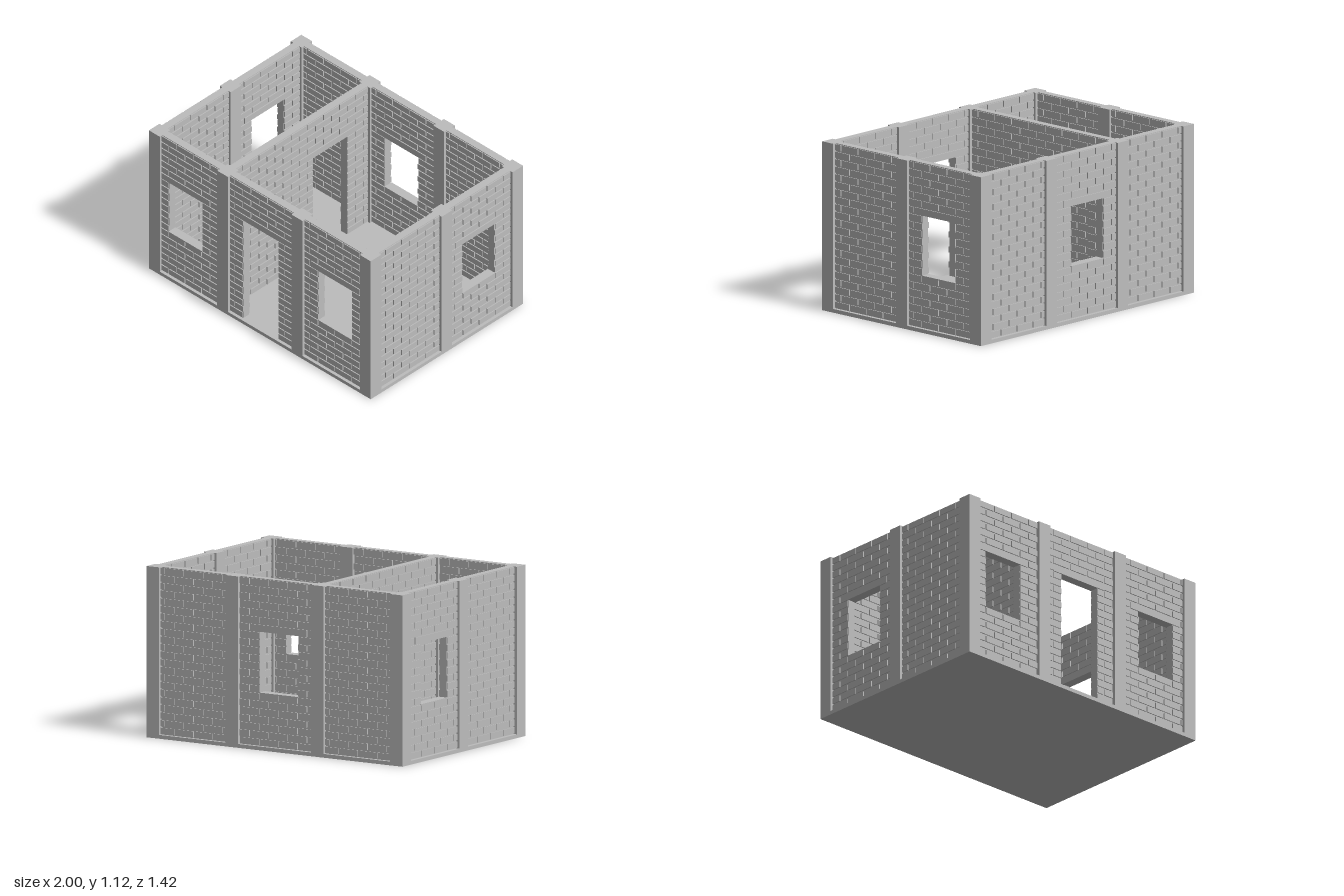
import * as THREE from 'three';
import { mergeGeometries } from 'three/addons/utils/BufferGeometryUtils.js';

const FLOOR = 0.025, TOP = 1.125, ROW = 0.05, BRICK = 0.15, GAP = 0.01;
const THICK = 0.065, CORE = 0.051;

const stone = new THREE.MeshStandardMaterial({ name: 'grey stone', color: 0xbdbdbd });

function box(x0, x1, y0, y1, depth) {
  const g = new THREE.BoxGeometry(x1 - x0, y1 - y0, depth);
  g.translate((x0 + x1) / 2, (y0 + y1) / 2, 0);
  return g;
}

function mesh(geometry, name) {
  const m = new THREE.Mesh(geometry, stone);
  m.name = name;
  return m;
}

// Remove the span [c, d] from a list of spans
function cut(spans, c, d) {
  return spans.flatMap(([a, b]) =>
    [[a, Math.min(b, c)], [Math.max(a, d), b]].filter(([p, q]) => q - p > 1e-4));
}

// Brick wall running along local x from a to b, with an optional opening
// given as { x0, x1, y0, y1, l0, l1 }, where l0..l1 is the lintel
function brickWall(name, a, b, open) {
  const wall = new THREE.Group();
  wall.name = name;

  // Recessed mortar core, built around the opening
  const core = [];
  if (open) {
    core.push(box(a, open.x0, FLOOR, TOP, CORE), box(open.x1, b, FLOOR, TOP, CORE));
    core.push(box(open.x0, open.x1, open.y1, TOP, CORE));
    if (open.y0 > FLOOR + 0.01) core.push(box(open.x0, open.x1, FLOOR, open.y0, CORE));
  } else core.push(box(a, b, FLOOR, TOP, CORE));
  wall.add(mesh(mergeGeometries(core), 'mortarCore'));

  // Staggered courses, visible on both faces
  const bricks = [];
  const origin = open ? open.x0 : (a + b) / 2;
  for (let r = 0; r < 22; r++) {
    const y = FLOOR + r * ROW, mid = y + ROW / 2;
    const shift = origin + (r % 2) * BRICK / 2;
    let spans = [[a, b]];
    if (open && mid > open.y0 && mid < open.y1) spans = cut(spans, open.x0, open.x1);
    if (open && mid > open.y1 && mid < open.y1 + ROW) spans = cut(spans, open.l0, open.l1);
    for (const [s, e] of spans) {
      for (let k = Math.floor((s - shift) / BRICK); shift + k * BRICK < e; k++) {
        const left = shift + k * BRICK;
        const p = Math.max(s, left + GAP / 2), q = Math.min(e, left + BRICK - GAP / 2);
        if (q - p > 0.008) bricks.push(box(p, q, y + GAP / 2, y + ROW - GAP / 2, THICK));
      }
    }
  }
  wall.add(mesh(mergeGeometries(bricks), 'bricks'));

  // Lintel and smooth reveals
  if (open) {
    wall.add(mesh(box(open.l0, open.l1, open.y1, open.y1 + ROW - GAP / 2, THICK), 'lintel'));
    if (open.y0 > FLOOR + 0.01)
      wall.add(mesh(box(open.x0, open.x1, open.y0 - 0.008, open.y0, THICK), 'windowSill'));
  }
  return wall;
}

const windowAt = (x0, x1, l0, l1) => ({ x0, x1, y0: 0.375, y1: 0.775, l0, l1 });
const doorAt = (x0, x1, l0, l1) => ({ x0, x1, y0: FLOOR, y1: 0.825, l0, l1 });

export function createModel() {
  const house = new THREE.Group();
  house.name = 'brickHouse';

  // Floor slab
  house.add(mesh(box(-1, 1, 0, FLOOR, 1.416), 'floorSlab'));

  // Square columns
  const column = (x, z) => {
    const m = mesh(box(-0.049, 0.049, FLOOR, TOP, 0.098), 'column');
    m.position.set(x, 0, z);
    house.add(m);
  };
  for (const z of [-0.659, 0.659]) for (const x of [-0.951, -0.335, 0.335, 0.951]) column(x, z);
  for (const x of [-0.951, 0.951]) column(x, 0);

  // Front and back walls
  const along = (name, z, a, b, open) => {
    const w = brickWall(name, a, b, open);
    w.position.z = z;
    house.add(w);
  };
  along('frontWallRight', 0.658, -0.902, -0.384, windowAt(-0.84, -0.535, -0.902, -0.47));
  along('frontWallDoor', 0.658, -0.286, 0.286, doorAt(-0.17, 0.15, -0.24, 0.215));
  along('frontWallLeft', 0.658, 0.384, 0.902, windowAt(0.51, 0.815, 0.445, 0.88));
  along('backWallRight', -0.658, -0.902, -0.384);
  along('backWallMiddle', -0.658, -0.286, 0.286, windowAt(-0.17, 0.13, -0.24, 0.2));
  along('backWallLeft', -0.658, 0.384, 0.902);

  // Side walls and inner partition, local x turned to z
  const across = (name, x, a, b, open) => {
    const w = brickWall(name, a, b, open);
    w.rotation.y = -Math.PI / 2;
    w.position.x = x;
    house.add(w);
  };
  for (const [side, x] of [['left', 0.95], ['right', -0.95]]) {
    across(side + 'WallFront', x, 0.049, 0.61);
    across(side + 'WallBack', x, -0.61, -0.049, windowAt(-0.465, -0.165, -0.53, -0.1));
  }
  across('partitionWall', -0.336, -0.61, 0.61, doorAt(-0.42, -0.1, -0.49, -0.04));

  return house;
}
